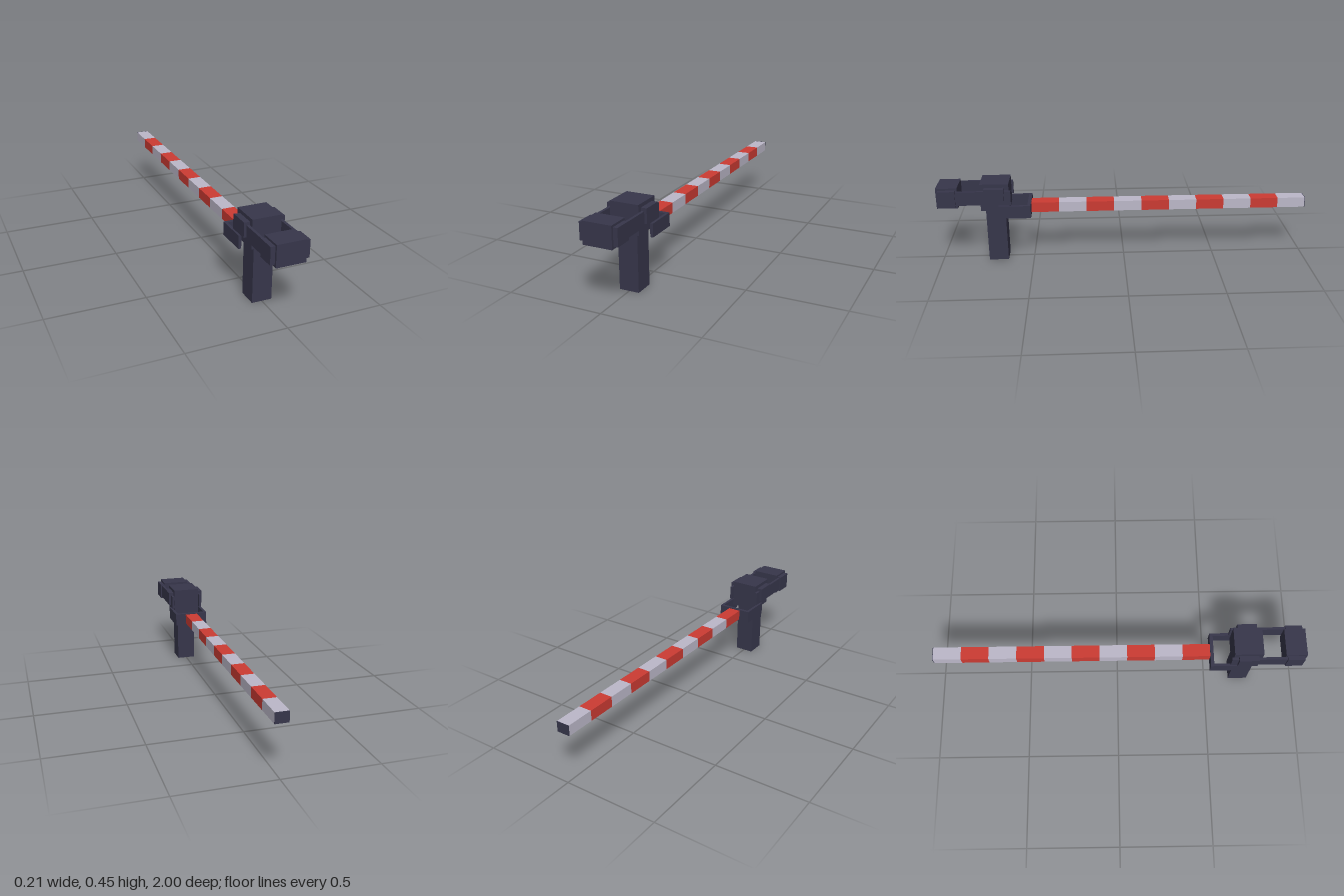
import * as THREE from 'three';

export function createModel() {
  const model = new THREE.Group();
  const make = (name, color) => {
    const m = new THREE.MeshStandardMaterial({ color });
    m.name = name;
    return m;
  };
  const dark = make('darkMetal', 0x37364b);
  const red = make('redPaint', 0xcc3b33);
  const pale = make('palePaint', 0xbcb8c9);

  // Box given by its min and max on each axis
  const box = (name, mat, [x0, x1], [y0, y1], [z0, z1]) => {
    const mesh = new THREE.Mesh(new THREE.BoxGeometry(x1 - x0, y1 - y0, z1 - z0), mat);
    mesh.position.set((x0 + x1) / 2, (y0 + y1) / 2, (z0 + z1) / 2);
    mesh.name = name;
    model.add(mesh);
  };

  // Post, pivot head and axle
  box('post', dark, [-0.052, 0.052], [0, 0.302], [0.64, 0.745]);
  box('head', dark, [-0.075, 0.075], [0.302, 0.452], [0.615, 0.768]);
  box('axle', dark, [-0.105, 0.105], [0.357, 0.433], [0.64, 0.745]);

  // Counterweight with its wider clamp
  box('counterweight', dark, [-0.075, 0.075], [0.32, 0.433], [0.888, 1]);
  box('counterweightClamp', dark, [-0.098, 0.098], [0.333, 0.422], [0.897, 0.988]);

  // Mirrored side arms: upper to the counterweight, lower to the boom
  for (const s of [-1, 1]) {
    const side = (a, b) => (s > 0 ? [a, b] : [-b, -a]);
    const label = s > 0 ? 'left' : 'right';
    box(label + 'UpperArm', dark, side(0.078, 0.092), [0.341, 0.417], [0.605, 0.9]);
    box(label + 'LowerArm', dark, side(0.08, 0.095), [0.263, 0.333], [0.502, 0.672]);
  }
  box('boomBracket', dark, [-0.095, 0.095], [0.263, 0.333], [0.502, 0.52]);

  // Striped boom
  const count = 10, length = 0.15;
  for (let i = 0; i < count; i++) {
    const z = 0.503 - i * length;
    box('boomStripe' + (i + 1), i % 2 ? pale : red,
      [-0.035, 0.035], [0.273, 0.328], [Math.max(z - length, -0.997), z]);
  }
  box('boomEndCap', dark, [-0.035, 0.035], [0.273, 0.328], [-1, -0.997]);

  return model;
}
